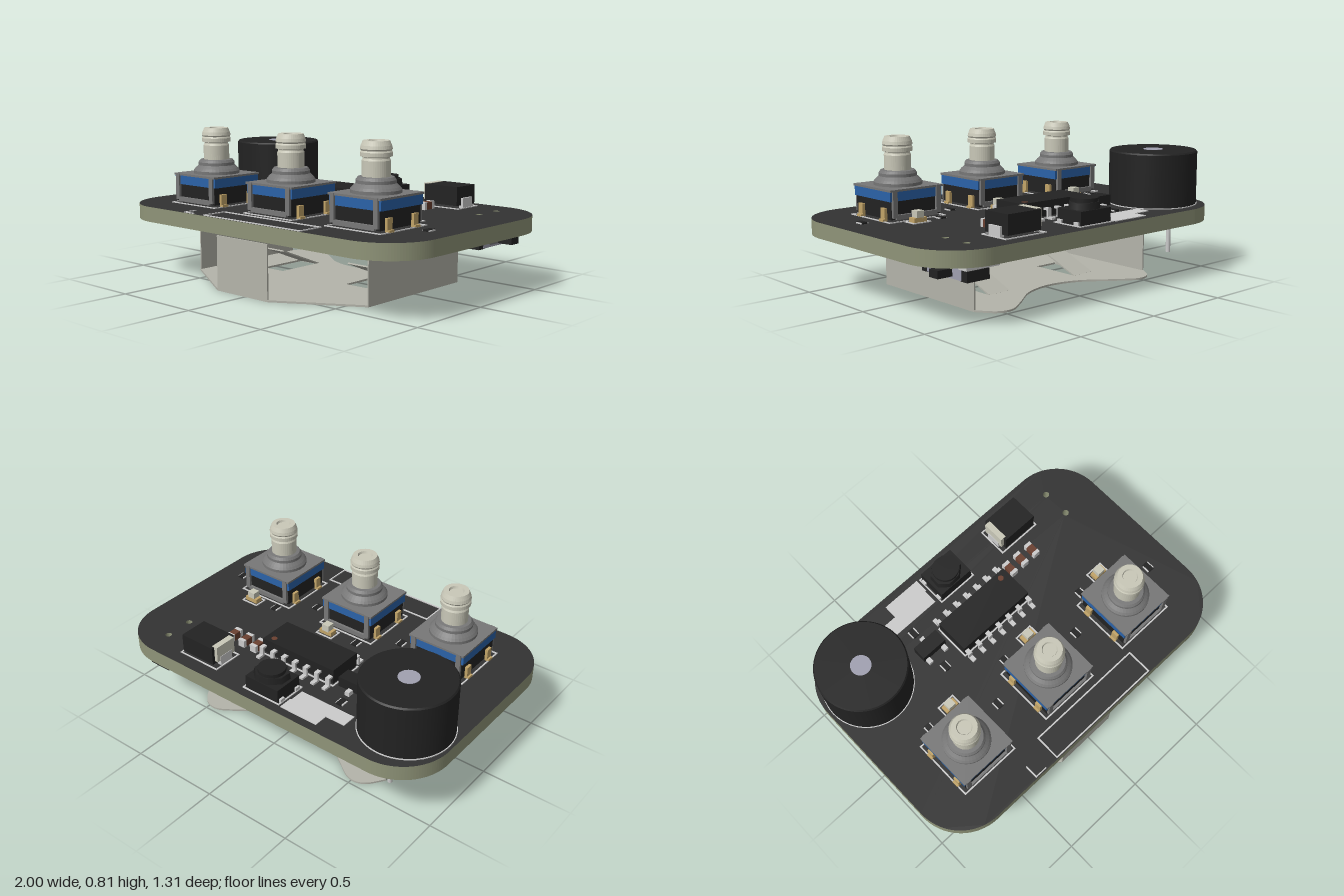
import * as THREE from 'three';

const mat = (color) => new THREE.MeshStandardMaterial({ color });
const M = {
  grey: mat(0xcccccc), board: mat(0x333333), edge: mat(0x8f9478), black: mat(0x222222),
  steel: mat(0x777777), blue: mat(0x2a62a8), gold: mat(0xc2a468), ivory: mat(0xc9c8b8),
  brown: mat(0x6b4030), lilac: mat(0xa0a0b0),
  sheet: new THREE.MeshStandardMaterial({ color: 0xb4b4aa }),
};
const TOP = 0.39;

function add(parent, name, geo, material, x = 0, y = 0, z = 0) {
  const m = new THREE.Mesh(geo, material);
  m.name = name;
  m.position.set(x, y, z);
  parent.add(m);
  return m;
}
// box given by its centre in x and z, and its lowest and highest y
const box = (p, name, material, x, z, w, d, y0, y1) =>
  add(p, name, new THREE.BoxGeometry(w, y1 - y0, d), material, x, (y0 + y1) / 2, z);
const cyl = (p, name, material, x, z, r, y0, y1, r1 = r, n = 40) =>
  add(p, name, new THREE.CylinderGeometry(r1, r, y1 - y0, n), material, x, (y0 + y1) / 2, z);
// flat plate from an outline in x,z
const slab = (p, name, material, shape, y1, t) => {
  const g = new THREE.ExtrudeGeometry(shape, { depth: t, bevelEnabled: false, curveSegments: 16 });
  return add(p, name, g.rotateX(Math.PI / 2), material, 0, y1, 0);
};
const rectPath = (x0, z0, x1, z1) => new THREE.Path(
  [[x0, z0], [x1, z0], [x1, z1], [x0, z1]].map(([x, z]) => new THREE.Vector2(x, z)));
const rectShape = (...a) => new THREE.Shape(rectPath(...a).getPoints());
const circleHole = (x, z, r) => new THREE.Path().absarc(x, z, r, 0, Math.PI * 2, true);
// thin printed outline on the board
function outline(p, x, z, w, d, t = 0.008) {
  const s = rectShape(x - w / 2, z - d / 2, x + w / 2, z + d / 2);
  s.holes.push(rectPath(x - w / 2 + t, z - d / 2 + t, x + w / 2 - t, z + d / 2 - t));
  slab(p, 'printedOutline', M.grey, s, TOP + 0.003, 0.005);
}

function circuitBoard(p) {
  const X = 1, Z = 0.655, r = 0.28, s = new THREE.Shape();
  s.absarc(X - r, Z - r, r, 0, Math.PI / 2);
  s.absarc(r - X, Z - r, r, Math.PI / 2, Math.PI);
  s.absarc(r - X, r - Z, r, Math.PI, Math.PI * 1.5);
  s.absarc(X - r, r - Z, r, Math.PI * 1.5, Math.PI * 2);
  for (const z of [-0.5, -0.34]) s.holes.push(circleHole(0.75, z, 0.018));
  slab(p, 'circuitBoard', [M.board, M.edge], s, TOP - 0.002, 0.083);
  // printed marks
  outline(p, 0.06, 0.575, 0.7, 0.15);
  box(p, 'printedLine', M.grey, -0.437, 0.61, 0.008, 0.08, TOP - 0.002, TOP + 0.003);
  box(p, 'printedLine', M.grey, -0.4, 0.646, 0.07, 0.006, TOP - 0.002, TOP + 0.003);
  box(p, 'labelPatch', M.grey, -0.265, -0.57, 0.23, 0.08, TOP - 0.002, TOP + 0.002);
  box(p, 'labelPatch', M.grey, -0.325, -0.488, 0.335, 0.085, TOP - 0.002, TOP + 0.002);
  // small test pads
  for (const [x, z] of [[-0.37, -0.39], [-0.37, -0.13], [-0.665, 0.07], [-0.31, 0.22],
    [-0.115, 0.07], [0.275, 0.22], [0.46, 0.07], [0.845, 0.22]]) {
    box(p, 'testPad', M.grey, x, z, 0.045, 0.045, TOP - 0.002, TOP + 0.004);
    box(p, 'testPadCore', M.black, x, z, 0.03, 0.055, TOP - 0.002, TOP + 0.007);
  }
}

function pushButton(x) {
  const g = new THREE.Group();
  g.name = 'pushButton';
  g.position.set(x, 0, 0.285);
  outline(g, 0, 0, 0.36, 0.355);
  box(g, 'base', M.black, 0, 0, 0.31, 0.31, 0.4, 0.5);
  box(g, 'blueSeal', M.blue, 0, 0, 0.33, 0.32, 0.495, 0.546);
  box(g, 'topPlate', M.steel, 0, 0, 0.335, 0.335, 0.545, 0.556);
  for (const s of [-1, 1]) {
    // U-shaped clip on the front and back
    box(g, 'clipBar', M.steel, 0, s * 0.162, 0.26, 0.016, 0.4, 0.425);
    for (const t of [-1, 1]) {
      box(g, 'clipPost', M.steel, t * 0.138, s * 0.162, 0.028, 0.016, 0.41, 0.556);
      box(g, 'solderLeg', M.gold, s * 0.163, t * 0.1, 0.016, 0.038, TOP, 0.458);
      box(g, 'solderFoot', M.gold, s * 0.172, t * 0.1, 0.02, 0.038, TOP, 0.402);
    }
  }
  // collar and stem are turned profiles
  const lathe = (pts) => new THREE.LatheGeometry(pts.map((q) => new THREE.Vector2(...q)), 40);
  const flat = (name, pts, m) => {
    const c = lathe(pts).toNonIndexed();
    c.computeVertexNormals();
    add(g, name, c, m);
  };
  flat('collar', [[0.128, 0.555], [0.128, 0.572], [0.118, 0.585], [0.1, 0.602], [0.1, 0.618],
    [0.09, 0.632], [0.068, 0.634]], M.steel);
  flat('stem', [[0.071, 0.63], [0.071, 0.712], [0.066, 0.722], [0.066, 0.728], [0.08, 0.732],
    [0.08, 0.752], [0.075, 0.76], [0.08, 0.768], [0.076, 0.785], [0.066, 0.808], [0.04, 0.808],
    [0.036, 0.796], [0, 0.796]], M.ivory);
  return g;
}

function topParts(p) {
  // buzzer
  const bz = new THREE.Group();
  bz.name = 'buzzer';
  bz.position.set(-0.735, 0, -0.345);
  p.add(bz);
  cyl(bz, 'buzzerRing', M.grey, 0, 0, 0.25, TOP - 0.002, TOP + 0.003);
  cyl(bz, 'buzzerBody', M.black, 0, 0, 0.245, TOP, 0.682, 0.245, 64);
  cyl(bz, 'buzzerRim', M.black, 0, 0, 0.245, 0.682, 0.69, 0.238, 64);
  cyl(bz, 'soundHole', M.lilac, 0, 0, 0.055, 0.6, 0.692);
  for (const z of [-0.125, 0.125]) cyl(bz, 'buzzerPin', M.grey, 0, z, 0.013, 0.12, 0.32, 0.013, 12);

  // chip with seven bent legs on each side
  box(p, 'chipBody', M.black, -0.012, -0.205, 0.475, 0.2, 0.4, 0.482);
  outline(p, -0.012, -0.205, 0.49, 0.22);
  cyl(p, 'chipDot', M.brown, 0.175, -0.27, 0.016, 0.47, 0.484, 0.016, 16);
  for (let i = 0; i < 7; i++) for (const s of [-1, 1]) {
    const x = -0.235 + i * 0.0745, z = (d) => -0.205 + s * d;
    box(p, 'chipLeg', M.grey, x, z(0.11), 0.024, 0.03, 0.435, 0.447);
    box(p, 'chipLeg', M.grey, x, z(0.127), 0.024, 0.012, TOP, 0.447);
    box(p, 'chipLeg', M.grey, x, z(0.147), 0.024, 0.035, TOP, 0.402);
  }

  // three-legged transistor
  box(p, 'transistorBody', M.black, -0.36, -0.262, 0.155, 0.08, 0.4, 0.458);
  for (const [x, z] of [[-0.36, -0.315], [-0.415, -0.21], [-0.305, -0.21]])
    box(p, 'transistorLeg', M.grey, x, z, 0.026, 0.04, TOP, 0.415);

  // small reset switch with an eight-sided cap
  outline(p, -0.015, -0.51, 0.245, 0.19);
  box(p, 'resetBase', M.black, -0.015, -0.51, 0.215, 0.17, TOP, 0.465);
  const cap = cyl(p, 'resetCap', M.black, -0.015, -0.51, 0.1, 0.465, 0.5, 0.094, 8);
  cap.rotation.y = Math.PI / 8;
  cap.scale.z = 0.85;
  cyl(p, 'resetKnob', M.black, -0.015, -0.51, 0.073, 0.5, 0.52);
  for (const s of [-1, 1]) for (const t of [-1, 1])
    box(p, 'resetLeg', M.grey, -0.015 + s * 0.11, -0.51 + t * 0.06, 0.02, 0.03, TOP, 0.41);

  // diode
  outline(p, 0.445, -0.49, 0.265, 0.18);
  box(p, 'diodeBody', M.black, 0.452, -0.49, 0.215, 0.165, 0.405, 0.508);
  box(p, 'diodeBand', M.ivory, 0.342, -0.49, 0.034, 0.13, 0.42, 0.51);
  for (const x of [0.335, 0.56]) box(p, 'diodeTerminal', M.grey, x, -0.49, 0.025, 0.085, TOP, 0.445);

  // row of capacitors
  for (const x of [0.272, 0.355, 0.44]) {
    box(p, 'capacitor', M.brown, x, -0.298, 0.04, 0.045, TOP, 0.43);
    for (const s of [-1, 1]) box(p, 'capacitorEnd', M.grey, x, -0.298 + s * 0.032, 0.042, 0.02, TOP, 0.432);
  }

  // one lamp behind each button
  for (const x of [-0.505, 0.07, 0.615]) {
    outline(p, x, 0.055, 0.11, 0.08);
    box(p, 'lampBase', M.gold, x, 0.055, 0.08, 0.045, TOP, 0.415);
    box(p, 'lampLens', M.ivory, x, 0.055, 0.045, 0.045, 0.41, 0.45);
  }
}

// folded sheet-metal holder for a coin cell
function batteryHolder() {
  const g = new THREE.Group();
  g.name = 'batteryHolder';
  g.position.x = -0.022;
  const s = new THREE.Shape();
  s.moveTo(0.622, -0.37);
  s.lineTo(0.622, 0.37);
  s.lineTo(0.185, 0.63);
  s.lineTo(-0.185, 0.63);
  s.lineTo(-0.622, 0.37);
  s.lineTo(-0.622, -0.37);
  s.splineThru([[-0.55, -0.46], [-0.46, -0.475], [-0.34, -0.4], [-0.18, -0.29], [0, -0.25],
    [0.18, -0.29], [0.34, -0.4], [0.46, -0.475], [0.55, -0.46], [0.622, -0.37]]
    .map((q) => new THREE.Vector2(...q)));
  for (const x of [-0.31, 0.31]) s.holes.push(rectPath(x - 0.073, -0.2, x + 0.073, 0.1));
  slab(g, 'holderFloor', M.sheet, s, 0.01, 0.01);
  box(g, 'frontFlap', M.sheet, 0, 0.626, 0.37, 0.008, 0, 0.292);
  cyl(g, 'contactDimple', M.sheet, 0, 0.5, 0.03, -0.0, 0.02, 0.02, 16);
  for (const k of [-1, 1]) {
    box(g, 'sideWall', M.sheet, k * 0.618, 0, 0.008, 0.74, 0, 0.292);
    const tab = rectShape(0.618, -0.122, 0.872, 0.122);
    tab.holes.push(circleHole(0.75, 0, 0.05));
    slab(g, 'solderTab', M.sheet, tab, 0.294, 0.01).rotation.y = k < 0 ? Math.PI : 0;
    // spring tongue bent up out of the floor
    const tongue = box(g, 'springTongue', M.sheet, k * 0.31, -0.055, 0.14, 0.31, 0.06, 0.068);
    tongue.rotation.x = -0.38;
  }
  return g;
}

// slide switch under the board
function slideSwitch(p) {
  box(p, 'switchBody', M.lilac, 0.75, -0.415, 0.14, 0.26, 0.225, 0.3);
  for (const s of [-1, 1]) {
    box(p, 'switchEnd', M.black, 0.75, -0.415 + s * 0.145, 0.135, 0.05, 0.222, 0.275);
    box(p, 'switchTab', M.grey, 0.75, -0.415 + s * 0.175, 0.2, 0.06, 0.288, 0.307);
  }
  box(p, 'switchKnob', M.black, 0.86, -0.447, 0.09, 0.065, 0.236, 0.275);
  box(p, 'switchSlot', M.steel, 0.818, -0.375, 0.008, 0.08, 0.236, 0.26);
  for (const z of [-0.5, -0.42, -0.33]) box(p, 'switchLeg', M.grey, 0.66, z, 0.06, 0.025, 0.29, 0.307);
}

export function createModel() {
  const model = new THREE.Group();
  model.name = 'gameBoard';
  circuitBoard(model);
  for (const x of [-0.59, -0.007, 0.572]) model.add(pushButton(x));
  topParts(model);
  model.add(batteryHolder());
  slideSwitch(model);
  return model;
}
